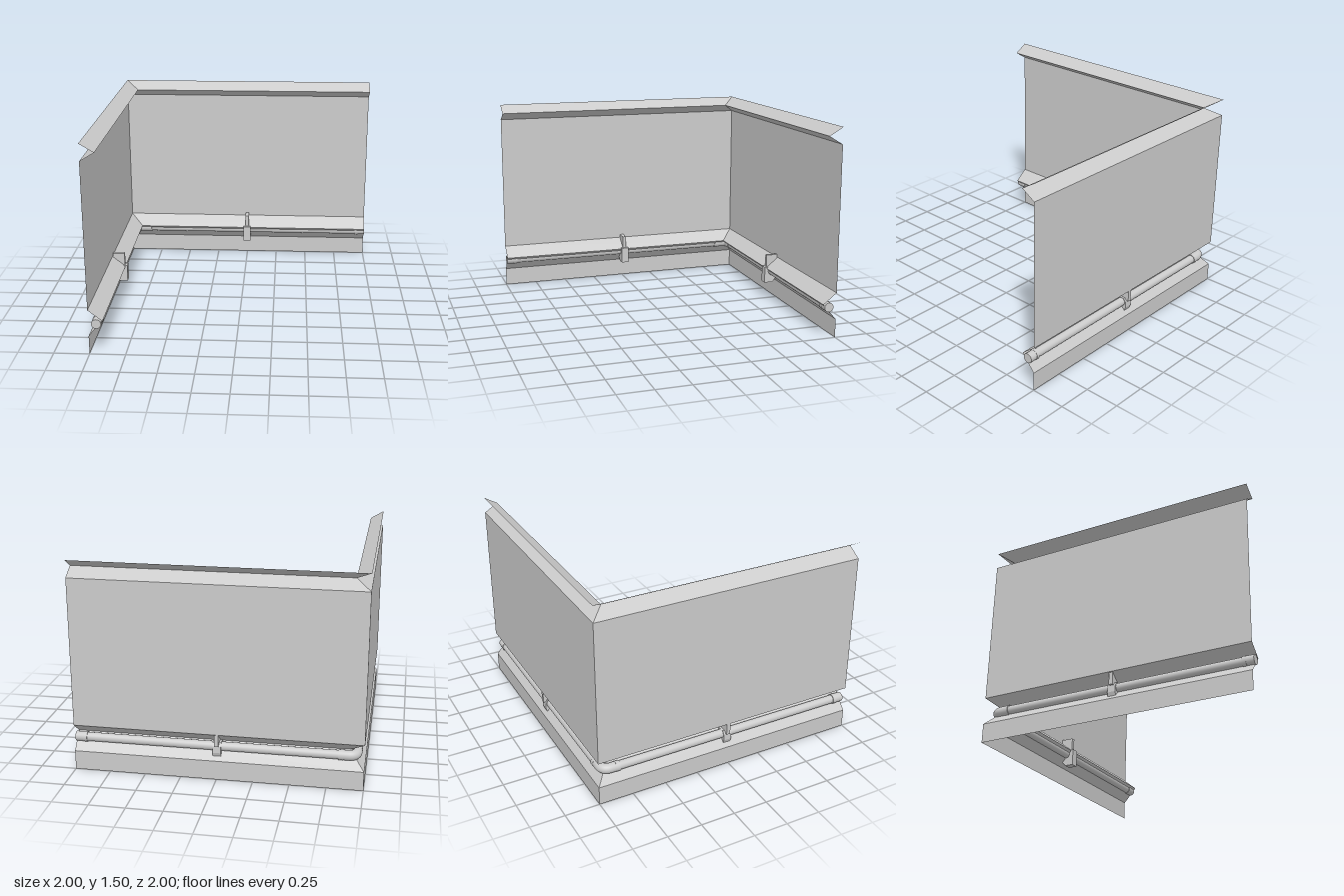
import * as THREE from 'three';

const mat = new THREE.MeshStandardMaterial({ color: 0xcccccc, side: THREE.DoubleSide });
const PIPE_Y = 0.227, PIPE_Z = -0.945;

function add(parent, name, geometry) {
  const mesh = new THREE.Mesh(geometry, mat);
  mesh.name = name;
  parent.add(mesh);
  return mesh;
}

// Folded sheet, mitred at the corner; profile points are [inset, height]
function wallSheet() {
  const profile = [[0, 0], [0, 0.136], [0.1, 0.251], [0, 0.329], [0, 1.38], [0.1, 1.44], [0, 1.5]];
  const pos = [];
  for (let i = 0; i < profile.length - 1; i++) {
    const [d0, y0] = profile[i], [d1, y1] = profile[i + 1];
    const a = [d0 - 1, y0, d0 - 1], b = [1, y0, d0 - 1];
    const c = [1, y1, d1 - 1], d = [d1 - 1, y1, d1 - 1];
    pos.push(...a, ...b, ...c, ...a, ...c, ...d);
  }
  const g = new THREE.BufferGeometry();
  g.setAttribute('position', new THREE.Float32BufferAttribute(pos, 3));
  g.computeVertexNormals();
  return g;
}

// Extrudes an [inset, height] outline across the wall, centred on x = 0
function bracketPart(points, width) {
  const shape = new THREE.Shape(points.map(([d, y]) => new THREE.Vector2(d, y)));
  const g = new THREE.ExtrudeGeometry(shape, { depth: width, bevelEnabled: false });
  g.translate(0, 0, -width / 2);
  g.rotateY(-Math.PI / 2);
  g.translate(0, 0, -1);
  return g;
}

// Straight pipe section from x0 to x1
function pipe(parent, name, x0, x1, radius) {
  const g = new THREE.CylinderGeometry(radius, radius, x1 - x0, 24);
  g.rotateZ(Math.PI / 2);
  add(parent, name, g).position.set((x0 + x1) / 2, PIPE_Y, PIPE_Z);
}

function side(name) {
  const group = new THREE.Group();
  group.name = name;
  add(group, 'wallSheet', wallSheet());

  // Pipe run with end sleeves and collars
  pipe(group, 'pipe', -0.84, 0.95, 0.031);
  pipe(group, 'cornerCollar', -0.856, -0.824, 0.036);
  pipe(group, 'endCollar', 0.918, 0.945, 0.036);
  pipe(group, 'endSleeve', 0.94, 1, 0.034);

  // Bracket: narrow fin above, wider clamp around the pipe
  const bracket = new THREE.Group();
  bracket.name = 'bracket';
  add(bracket, 'bracketFin', bracketPart([[0.005, 0.24], [0.095, 0.24], [0.095, 0.355], [0.005, 0.355]], 0.028));
  add(bracket, 'bracketClamp', bracketPart(
    [[0.05, 0.136], [0.115, 0.136], [0.115, 0.26], [0.035, 0.26], [0.018, 0.235], [0.016, 0.19], [0.025, 0.163]], 0.058));
  group.add(bracket);
  return group;
}

export function createModel() {
  const model = new THREE.Group();
  model.name = 'cornerWall';

  // The second wall mirrors the first across the corner diagonal
  const back = side('backWall');
  const right = side('rightWall');
  right.rotation.y = Math.PI / 2;
  right.scale.x = -1;
  model.add(back, right);

  // Pipe elbow at the corner
  const v = (x, z) => new THREE.Vector3(x, PIPE_Y, z);
  const bend = PIPE_Z + 0.06;
  const path = new THREE.CurvePath();
  path.add(new THREE.LineCurve3(v(-0.85, PIPE_Z), v(bend, PIPE_Z)));
  path.add(new THREE.QuadraticBezierCurve3(v(bend, PIPE_Z), v(PIPE_Z, PIPE_Z), v(PIPE_Z, bend)));
  path.add(new THREE.LineCurve3(v(PIPE_Z, bend), v(PIPE_Z, -0.85)));
  add(model, 'pipeElbow', new THREE.TubeGeometry(path, 32, 0.035, 24));
  return model;
}
